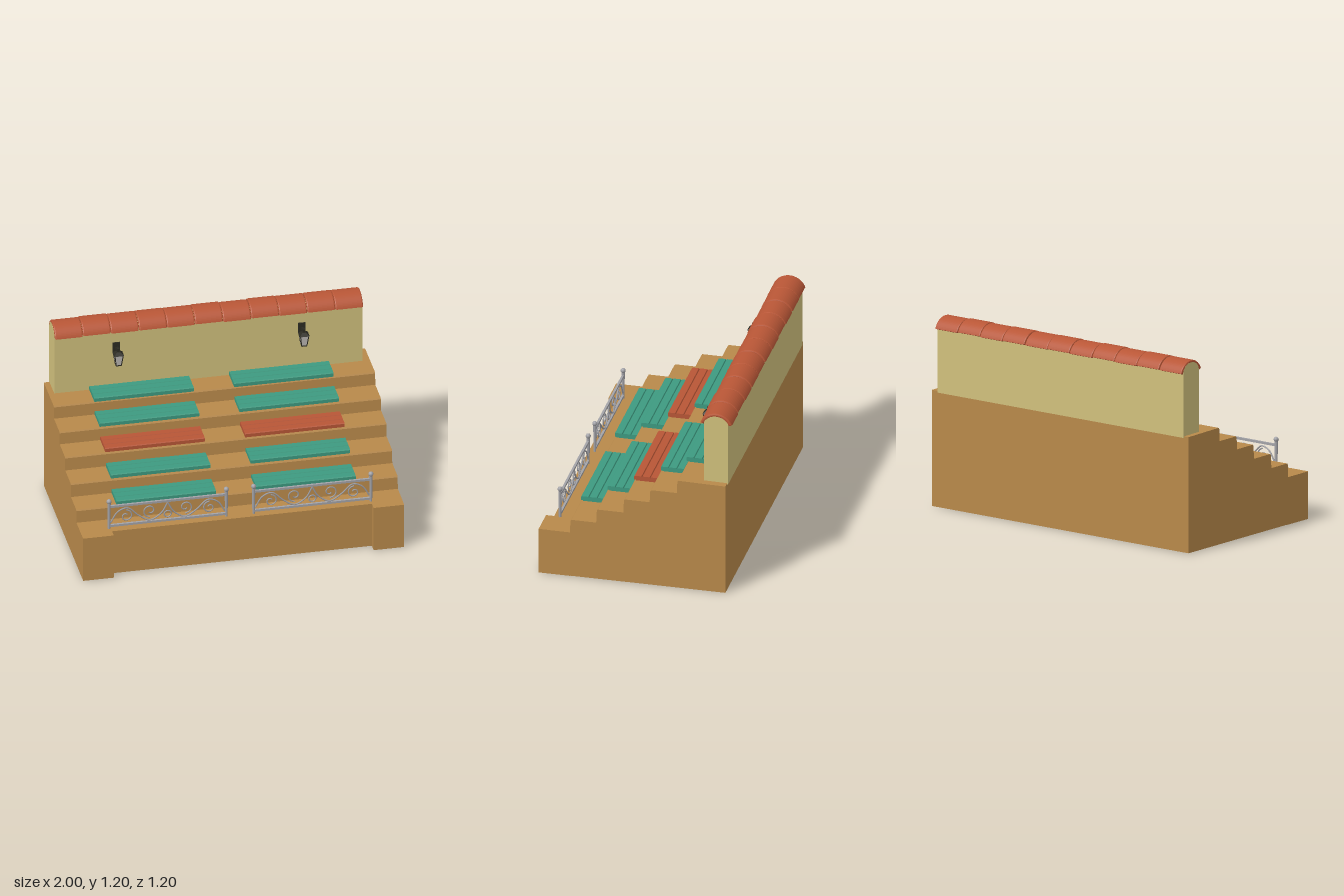
import * as THREE from 'three';

const mat = (name, color) => {
  const m = new THREE.MeshStandardMaterial({ color });
  m.name = name;
  return m;
};

export function createModel() {
  const root = new THREE.Group();
  root.name = 'grandstand';
  const sand = mat('sandstone', 0xb8894a);
  const plaster = mat('yellow plaster', 0xd0c07c);
  const green = mat('green wood', 0x3d9a80);
  const red = mat('terracotta red', 0xb85636);
  const steel = mat('grey metal', 0xa3a3a8);
  const iron = mat('dark iron', 0x2c2b22);
  const glass = mat('lamp glass', 0xc4c0bc);

  const add = (parent, name, geo, m, x = 0, y = 0, z = 0) => {
    const mesh = new THREE.Mesh(geo, m);
    mesh.name = name;
    mesh.position.set(x, y, z);
    parent.add(mesh);
    return mesh;
  };
  // Sweeps a (z, y) outline along x from x0 to x1
  const sweep = (shape, x0, x1, bevel = 0) => {
    const g = new THREE.ExtrudeGeometry(shape, {
      depth: x1 - x0 - 2 * bevel, curveSegments: 14, bevelEnabled: bevel > 0,
      bevelSize: bevel, bevelThickness: bevel, bevelOffset: -bevel, bevelSegments: 2,
    });
    g.rotateY(-Math.PI / 2);
    g.translate(x1 - bevel, 0, 0);
    return g;
  };
  const outline = (pts) => new THREE.Shape(pts.map(([z, y]) => new THREE.Vector2(z, y)));

  // Stepped base
  const steps = [[0.4, 0.385], [0.235, 0.475], [0.065, 0.565], [-0.1, 0.648], [-0.27, 0.733]];
  const profile = [[-0.575, 0.002], [0.545, 0.002], [0.545, 0.298]];
  let level = 0.298;
  for (const [z, y] of steps) {
    profile.push([z, level], [z - 0.004, y - 0.008], [z - 0.01, y]);
    level = y;
  }
  profile.push([-0.575, 0.729]);
  add(root, 'steppedBase', sweep(outline(profile), -1, 1), sand);
  for (const s of [-1, 1])
    add(root, 'frontPier', new THREE.BoxGeometry(0.19, 0.298, 0.2), sand, s * 0.904, 0.149, 0.496);

  // Rear wall with a rounded top
  const wall = new THREE.Shape();
  wall.moveTo(-0.58, 0.72);
  wall.lineTo(-0.43, 0.72);
  wall.lineTo(-0.43, 1.125);
  wall.absellipse(-0.505, 1.125, 0.075, 0.055, 0, Math.PI, false);
  wall.closePath();
  add(root, 'rearWall', sweep(wall, -0.965, 0.953), plaster);

  // Curved coping tiles
  const coping = new THREE.Group();
  coping.name = 'copingTiles';
  root.add(coping);
  const a = 0.36, cy = 1.089;
  const tile = new THREE.Shape();
  tile.absarc(-0.505, cy, 0.106, a, Math.PI - a, false);
  tile.absarc(-0.505, cy, 0.084, Math.PI - a, a, true);
  tile.closePath();
  const pitch = 1.92 / 11;
  for (let i = 0; i < 11; i++) {
    const x = -0.965 + i * pitch;
    add(coping, 'tile', sweep(tile, x + 0.001, x + pitch - 0.001, 0.007), red,
      0, i % 2 ? 0.001 : -0.002, i % 3 ? 0 : 0.003);
  }

  // Benches: three planks over two bearers, two per step
  const rows = [[0.318, 0.385], [0.152, 0.475], [-0.015, 0.565], [-0.182, 0.648], [-0.342, 0.733]];
  rows.forEach(([z, y], r) => {
    const m = r === 2 ? red : green;
    for (const x of [-0.44, 0.43]) {
      const bench = new THREE.Group();
      bench.name = 'bench';
      bench.position.set(x, y, z);
      root.add(bench);
      const shape = outline([[-0.075, 0.007], [0.075, 0.007], [0.075, 0.028], [0.07, 0.033],
        [0.03, 0.033], [0.026, 0.026], [0.022, 0.033], [-0.022, 0.033], [-0.026, 0.026],
        [-0.03, 0.033], [-0.07, 0.033], [-0.075, 0.028]]);
      add(bench, 'seatPlanks', sweep(shape, -0.31, 0.31), m);
      add(bench, 'bearer', new THREE.BoxGeometry(0.61, 0.01, 0.13), m, 0, 0.004, 0);
    }
  });

  // Railings with scrollwork
  const tube = (pts, r) => new THREE.TubeGeometry(
    new THREE.CatmullRomCurve3(pts.map(([x, y]) => new THREE.Vector3(x, y, 0))), 32, r, 5);
  const spiral = (cx, cyy, r, start, dir) => {
    const pts = [];
    for (let i = 0; i <= 12; i++) {
      const t = i / 12, ang = start + dir * t * Math.PI * 2.3, rr = r * (1 - 0.75 * t);
      pts.push([cx + Math.cos(ang) * rr, cyy + Math.sin(ang) * rr]);
    }
    return pts;
  };
  for (const cx of [-0.455, 0.445]) {
    const rail = new THREE.Group();
    rail.name = 'railing';
    rail.position.set(cx, 0, 0.508);
    root.add(rail);
    for (const y of [0.452, 0.318])
      add(rail, 'rail', new THREE.BoxGeometry(0.73, 0.014, 0.014), steel, 0, y, 0);
    for (const s of [-1, 1]) {
      add(rail, 'post', new THREE.CylinderGeometry(0.011, 0.008, 0.19, 8), steel, s * 0.365, 0.39, 0);
      add(rail, 'finial', new THREE.SphereGeometry(0.016, 10, 8), steel, s * 0.365, 0.488, 0);
      // Sweeping S-curve and two curls on each half
      add(rail, 'scroll', tube([[s * 0.355, 0.34], [s * 0.31, 0.41], [s * 0.25, 0.43],
        [s * 0.18, 0.37], [s * 0.11, 0.33], [s * 0.04, 0.37], [0, 0.44]], 0.005), steel);
      const dir = s;
      add(rail, 'curl', tube(spiral(s * 0.26, 0.375, 0.042, Math.PI / 2, dir), 0.0045), steel);
      add(rail, 'curl', tube(spiral(s * 0.11, 0.395, 0.045, -Math.PI / 2, dir), 0.0045), steel);
    }
    add(rail, 'centreRing', new THREE.TorusGeometry(0.022, 0.0045, 5, 16), steel, 0, 0.36, 0);
  }

  // Wall lanterns: four-sided glass, cap and bracket
  const frustum = (top, bottom, h) =>
    new THREE.CylinderGeometry(top * Math.SQRT2, bottom * Math.SQRT2, h, 4).rotateY(Math.PI / 4).toNonIndexed();
  for (const x of [-0.58, 0.575]) {
    const lamp = new THREE.Group();
    lamp.name = 'wallLantern';
    lamp.position.set(x, 0, -0.366);
    root.add(lamp);
    const pane = frustum(0.026, 0.016, 0.072);
    pane.computeVertexNormals();
    add(lamp, 'glass', pane, glass, 0, 0.964, 0);
    add(lamp, 'foot', new THREE.BoxGeometry(0.034, 0.007, 0.034), iron, 0, 0.927, 0);
    const cap = frustum(0.012, 0.031, 0.018);
    cap.computeVertexNormals();
    add(lamp, 'cap', cap, iron, 0, 1.008, 0);
    // Corner bars follow the taper of the glass
    for (const sx of [-1, 1]) for (const sz of [-1, 1]) {
      const bar = new THREE.LineCurve3(new THREE.Vector3(sx * 0.016, 0.928, sz * 0.016),
        new THREE.Vector3(sx * 0.026, 1.0, sz * 0.026));
      add(lamp, 'cornerBar', new THREE.TubeGeometry(bar, 1, 0.003, 4), iron);
    }
    add(lamp, 'hook', new THREE.BoxGeometry(0.014, 0.025, 0.014), iron, 0, 1.026, 0);
    const arm = add(lamp, 'arm', new THREE.BoxGeometry(0.016, 0.014, 0.066), iron, 0, 1.022, -0.03);
    arm.rotation.x = -0.4;
    add(lamp, 'brace', new THREE.BoxGeometry(0.014, 0.022, 0.03), iron, 0, 1.002, -0.048);
    add(lamp, 'backPlate', new THREE.BoxGeometry(0.044, 0.075, 0.01), iron, 0, 1.01, -0.06);
  }
  return root;
}
